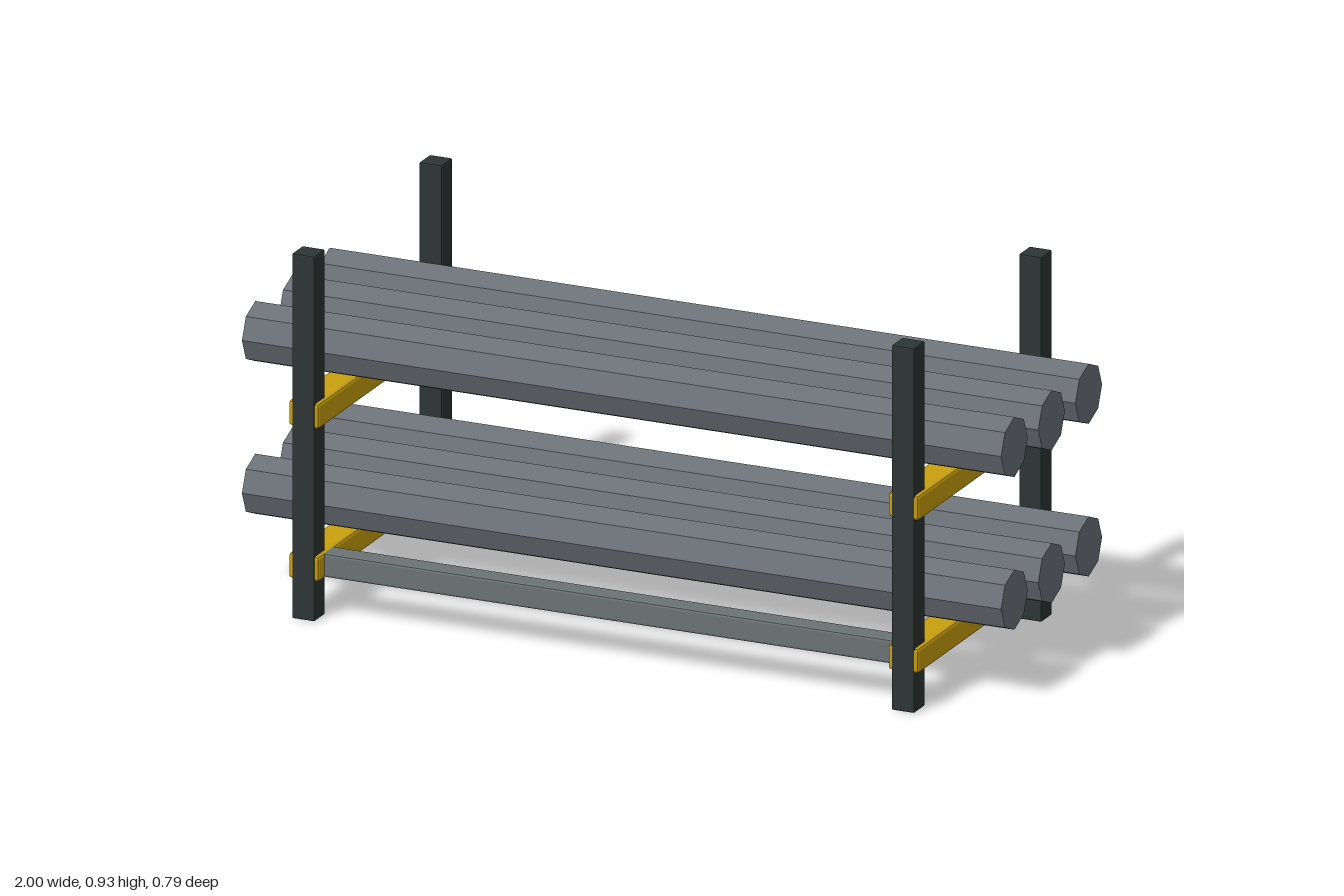
import * as THREE from 'three';
import { RoundedBoxGeometry } from 'three/addons/geometries/RoundedBoxGeometry.js';

const postMetal = new THREE.MeshStandardMaterial({ color: 0x2d3534 });
postMetal.name = 'dark post metal';
const beamPaint = new THREE.MeshStandardMaterial({ color: 0xc9a00e });
beamPaint.name = 'yellow beam paint';
const pipeSteel = new THREE.MeshStandardMaterial({ color: 0x6b7077 });
pipeSteel.name = 'grey pipe steel';
const railSteel = new THREE.MeshStandardMaterial({ color: 0x6b7375 });
railSteel.name = 'grey rail steel';

// Box with flat chamfered edges
function chamferBox(w, h, d, bevel) {
  const g = new RoundedBoxGeometry(w, h, d, 1, bevel);
  g.computeVertexNormals();
  return g;
}

export function createModel() {
  const rack = new THREE.Group();
  rack.name = 'pipeRack';

  const add = (name, geometry, material, x, y, z) => {
    const mesh = new THREE.Mesh(geometry, material);
    mesh.name = name;
    mesh.position.set(x, y, z);
    rack.add(mesh);
  };

  const postGeo = chamferBox(0.06, 0.925, 0.062, 0.004);
  const beamGeo = chamferBox(0.08, 0.064, 0.785, 0.008);
  const railGeo = chamferBox(1.58, 0.06, 0.06, 0.006);

  // Eight-sided pipes lying along x
  const pipeGeo = new THREE.CylinderGeometry(0.076, 0.076, 2, 8).rotateZ(Math.PI / 2).toNonIndexed();
  pipeGeo.computeVertexNormals();

  // Corner posts and crossbeams
  for (const x of [-0.79, 0.79]) {
    for (const z of [-0.363, 0.363]) add('post', postGeo, postMetal, x, 0.4625, z);
    for (const y of [0.132, 0.519]) add('crossbeam', beamGeo, beamPaint, x, y, 0);
  }

  // Long lower rails
  for (const z of [-0.327, 0.327]) add('lowerRail', railGeo, railSteel, 0, 0.132, z);

  // Two layers of three pipes
  for (const y of [0.257, 0.644])
    for (const z of [-0.212, 0, 0.212]) add('pipe', pipeGeo, pipeSteel, 0, y, z);

  return rack;
}
